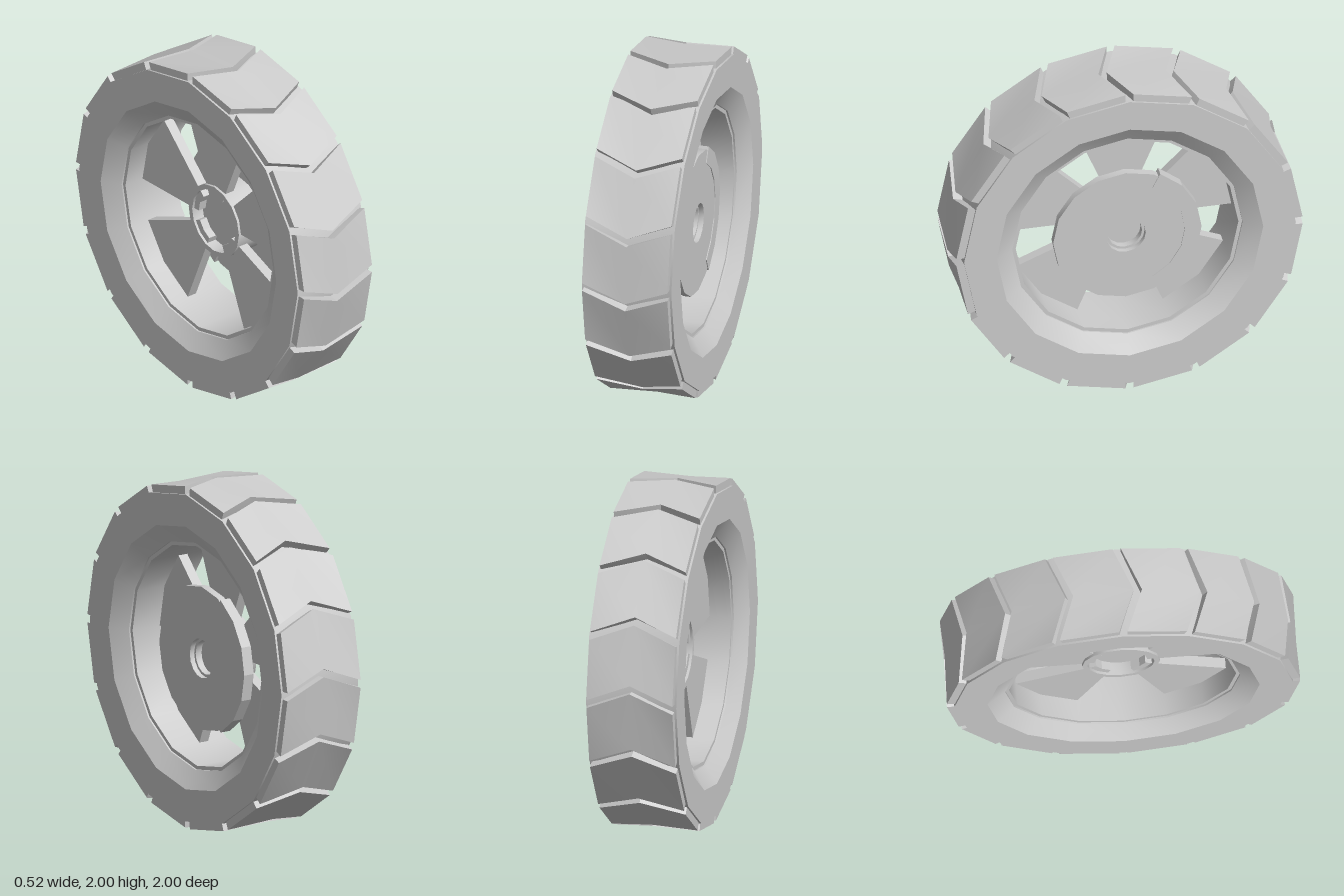
import * as THREE from 'three';
import { toCreasedNormals } from 'three/addons/utils/BufferGeometryUtils.js';

const SIDES = 16;
const STEP = (Math.PI * 2) / SIDES;
const rad = THREE.MathUtils.degToRad;

export function createModel() {
  const model = new THREE.Group();
  const wheel = new THREE.Group();
  wheel.name = 'wheel';
  wheel.position.y = 1;
  model.add(wheel);
  const material = new THREE.MeshStandardMaterial({ color: 0xcccccc });

  function add(name, geometry, y = 0) {
    const mesh = new THREE.Mesh(geometry, material);
    mesh.name = name;
    mesh.position.y = y;
    wheel.add(mesh);
    return mesh;
  }

  // Turned part about the x axle; profile points are [radius, x]
  function turned(profile) {
    const pts = profile.map(([r, x]) => new THREE.Vector2(r, x));
    const g = new THREE.LatheGeometry(pts, SIDES);
    g.rotateZ(-Math.PI / 2);
    return toCreasedNormals(g, rad(24));
  }

  // Ring sector extruded along x, angles in steps seen from the +x side
  function sector(rIn, rOut, from, to, x0, x1, parts) {
    const pts = [];
    for (let i = 0; i <= parts; i++) {
      const a = (from + ((to - from) * i) / parts) * STEP;
      pts.push(new THREE.Vector2(Math.cos(a) * rOut, Math.sin(a) * rOut));
    }
    for (let i = parts; i >= 0; i--) {
      const a = (from + ((to - from) * i) / parts) * STEP;
      pts.push(new THREE.Vector2(Math.cos(a) * rIn, Math.sin(a) * rIn));
    }
    const g = new THREE.ExtrudeGeometry(new THREE.Shape(pts), { depth: x1 - x0, bevelEnabled: false });
    g.rotateY(Math.PI / 2);
    g.translate(x0, 0, 0);
    return g;
  }

  // Tyre carcass with bevelled inner shoulders
  add('tyre', turned([
    [0.958, -0.262], [0.958, 0.262], [0.77, 0.262], [0.665, 0.195],
    [0.665, -0.195], [0.77, -0.262], [0.958, -0.262],
  ]));

  // Rim barrel
  add('rim', turned([
    [0.67, -0.185], [0.67, 0.185], [0.643, 0.185], [0.643, -0.185], [0.67, -0.185],
  ]));

  // Chevron tread block: three cross-sections across the width, the middle one shifted
  function treadBlock() {
    const pos = [];
    const index = [];
    const gap = rad(1.35);
    for (const [x, shift] of [[-0.25, 0], [0, rad(-5.8)], [0.25, 0]]) {
      const a0 = gap + shift;
      const a1 = STEP - gap + shift;
      for (const [r, a] of [[0.92, a0], [1, a0], [1, a1], [0.92, a1]]) {
        pos.push(x, Math.sin(a) * r, Math.cos(a) * r);
      }
    }
    for (let s = 0; s < 2; s++) {
      for (let k = 0; k < 4; k++) {
        const a = s * 4 + k;
        const b = s * 4 + ((k + 1) % 4);
        index.push(a, a + 4, b, b, a + 4, b + 4);
      }
    }
    index.push(0, 1, 2, 0, 2, 3, 8, 10, 9, 8, 11, 10);
    const g = new THREE.BufferGeometry();
    g.setAttribute('position', new THREE.Float32BufferAttribute(pos, 3));
    g.setIndex(index);
    return toCreasedNormals(g, rad(20));
  }
  const block = treadBlock();
  for (let i = 0; i < SIDES; i++) {
    add('treadBlock', block).rotation.x = i * STEP;
  }

  // Five wedge spokes, each two rim segments wide
  for (const start of [0, 3, 6, 9, 13]) {
    add('spoke', sector(0.15, 0.65, start, start + 2, -0.06, 0, 2));
  }

  // Hub with a recessed cap on the -x side
  add('hub', turned([
    [0, -0.015], [0.145, -0.015], [0.145, 0], [0.19, 0], [0.19, -0.075],
    [0.22, -0.075], [0.22, 0.12],
  ]));

  // Brake disc with a stepped axle bore, set slightly low
  add('brakeDisc', turned([
    [0, 0.11], [0.42, 0.11], [0.42, 0.155], [0.115, 0.155], [0.115, 0.125],
    [0.1, 0.125], [0.1, 0.085], [0, 0.085],
  ]), -0.018);

  // Brake shoe wrapped round the rear of the disc
  add('brakeShoe', sector(0.34, 0.436, -2.8, 2.8, 0.095, 0.16, 6), -0.018);

  return model;
}
